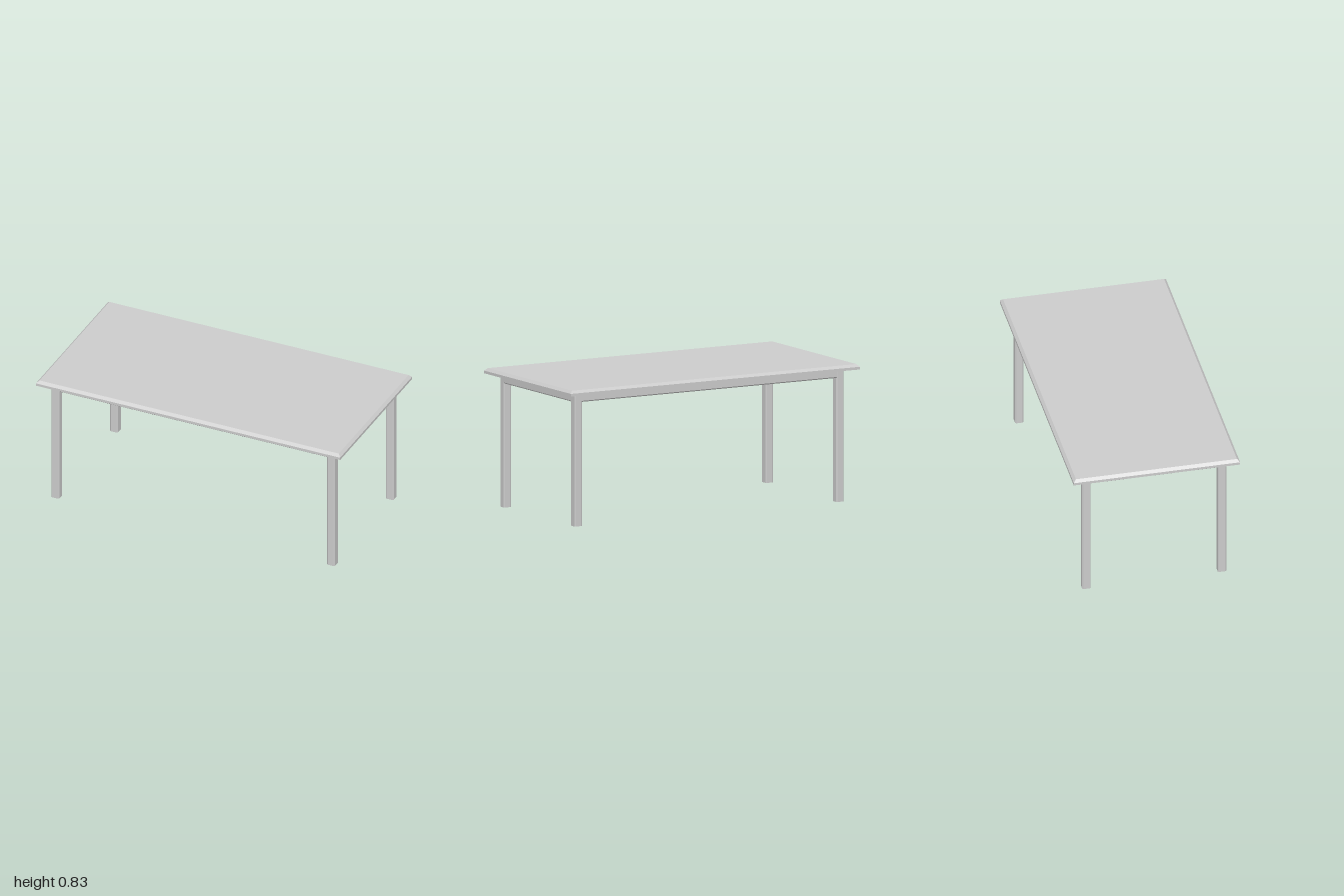
import * as THREE from 'three';

const material = new THREE.MeshStandardMaterial({ color: 0xcccccc, flatShading: true });

// Square bar with slightly chamfered long edges, centred, running along z
function barGeometry(size, length, chamfer = 0.007) {
  const h = size / 2, k = h - chamfer;
  const outline = [[h, -k], [h, k], [k, h], [-k, h], [-h, k], [-h, -k], [-k, -h], [k, -h]];
  const shape = new THREE.Shape(outline.map(([x, y]) => new THREE.Vector2(x, y)));
  return new THREE.ExtrudeGeometry(shape, { depth: length, bevelEnabled: false })
    .translate(0, 0, -length / 2);
}

// Slab whose top edges are chamfered all round
function topGeometry(width, height, depth, chamfer) {
  const geometry = new THREE.BoxGeometry(width, height, depth, 1, 2, 1);
  const p = geometry.attributes.position;
  for (let i = 0; i < p.count; i++) {
    const y = p.getY(i);
    if (y > height / 4) {
      p.setX(i, p.getX(i) - Math.sign(p.getX(i)) * chamfer);
      p.setZ(i, p.getZ(i) - Math.sign(p.getZ(i)) * chamfer);
    } else if (y > -height / 4) {
      p.setY(i, height / 2 - chamfer);
    }
  }
  const flat = geometry.toNonIndexed();
  flat.computeVertexNormals();
  return flat;
}

export function createModel() {
  const table = new THREE.Group();
  table.name = 'table';
  const add = (name, geometry, x, y, z) => {
    const mesh = new THREE.Mesh(geometry, material);
    mesh.name = name;
    mesh.position.set(x, y, z);
    table.add(mesh);
  };

  const size = 0.052, legX = 0.906, legZ = 0.414, legHeight = 0.8;

  add('tabletop', topGeometry(2, 0.032, 1.016, 0.016), 0, legHeight + 0.016, 0);

  // Legs at the four corners
  const leg = barGeometry(size, legHeight).rotateX(-Math.PI / 2);
  for (const [sx, side] of [[1, 'Left'], [-1, 'Right']]) {
    for (const [sz, end] of [[1, 'front'], [-1, 'back']]) {
      add(`${end}${side}Leg`, leg, sx * legX, legHeight / 2, sz * legZ);
    }
  }

  // Rails joining the legs under the top
  const railY = legHeight - size / 2;
  const longRail = barGeometry(size, 2 * legX - size + 0.012).rotateY(Math.PI / 2);
  const shortRail = barGeometry(size, 2 * legZ - size + 0.012);
  add('frontRail', longRail, 0, railY, legZ);
  add('backRail', longRail, 0, railY, -legZ);
  add('leftRail', shortRail, legX, railY, 0);
  add('rightRail', shortRail, -legX, railY, 0);

  return table;
}
